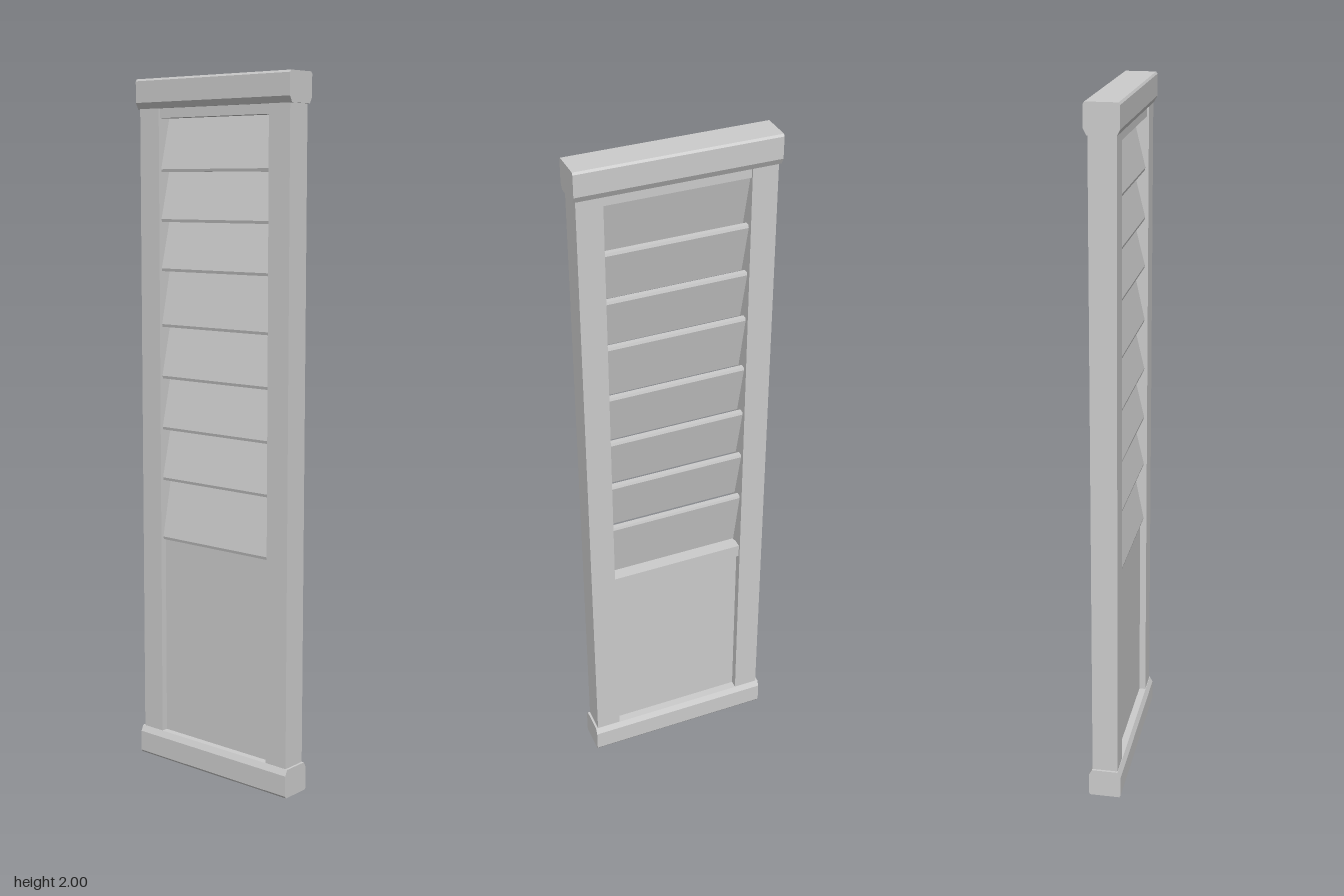
import * as THREE from 'three';

const material = new THREE.MeshStandardMaterial({ color: 0xcccccc, flatShading: true });

function box(name, x0, x1, y0, y1, z0, z1) {
  const mesh = new THREE.Mesh(new THREE.BoxGeometry(x1 - x0, y1 - y0, z1 - z0), material);
  mesh.position.set((x0 + x1) / 2, (y0 + y1) / 2, (z0 + z1) / 2);
  mesh.name = name;
  return mesh;
}

// Sweeps a [z, y] cross-section along x, centred on x = 0
function bar(name, section, width) {
  const shape = new THREE.Shape(section.map(([z, y]) => new THREE.Vector2(-z, y)));
  const geometry = new THREE.ExtrudeGeometry(shape, { depth: width, bevelEnabled: false });
  geometry.translate(0, 0, -width / 2);
  geometry.rotateY(Math.PI / 2);
  const mesh = new THREE.Mesh(geometry, material);
  mesh.name = name;
  return mesh;
}

export function createModel() {
  const group = new THREE.Group();
  group.name = 'louvredShutter';

  // Side stiles
  for (const side of [1, -1]) {
    const stile = box(side > 0 ? 'leftStile' : 'rightStile', -0.036, 0.036, 0.04, 1.96, -0.037, 0.037);
    stile.position.x = side * 0.236;
    group.add(stile);
  }

  // Top and bottom rails, chamfered toward the stiles and the outer edge
  const railSection = [
    [-0.043, 0], [0.043, 0], [0.047, 0.006], [0.047, 0.066],
    [0.038, 0.083], [-0.038, 0.083], [-0.047, 0.066], [-0.047, 0.006],
  ];
  group.add(bar('bottomRail', railSection, 0.558));
  group.add(bar('topRail', railSection.map(([z, y]) => [z, 2 - y]), 0.558));

  // Inner strip beneath the top rail
  group.add(box('topInnerStrip', -0.2, 0.2, 1.89, 1.93, -0.032, 0.032));

  // Solid lower panel and the ledge at its upper edge on the back
  group.add(box('lowerPanel', -0.202, 0.202, 0.07, 0.67, -0.014, 0.018));
  group.add(box('backLedge', -0.2, 0.2, 0.635, 0.675, -0.03, 0));

  // Overlapping louvres, lower edge forward and upper edge back
  const louvres = new THREE.Group();
  louvres.name = 'louvres';
  const edges = [0.672, 0.85, 1.0, 1.15, 1.3, 1.46, 1.6, 1.74, 1.89];
  for (let i = 0; i < edges.length - 1; i++) {
    const y0 = edges[i];
    const y1 = edges[i + 1] + (i < edges.length - 2 ? 0.012 : 0.005);
    louvres.add(bar('louvre', [
      [0.012, y0], [0.026, y0], [0.028, y0 + 0.008],
      [-0.008, y1], [-0.022, y1], [-0.024, y1 - 0.008],
    ], 0.402));
  }
  group.add(louvres);

  return group;
}
